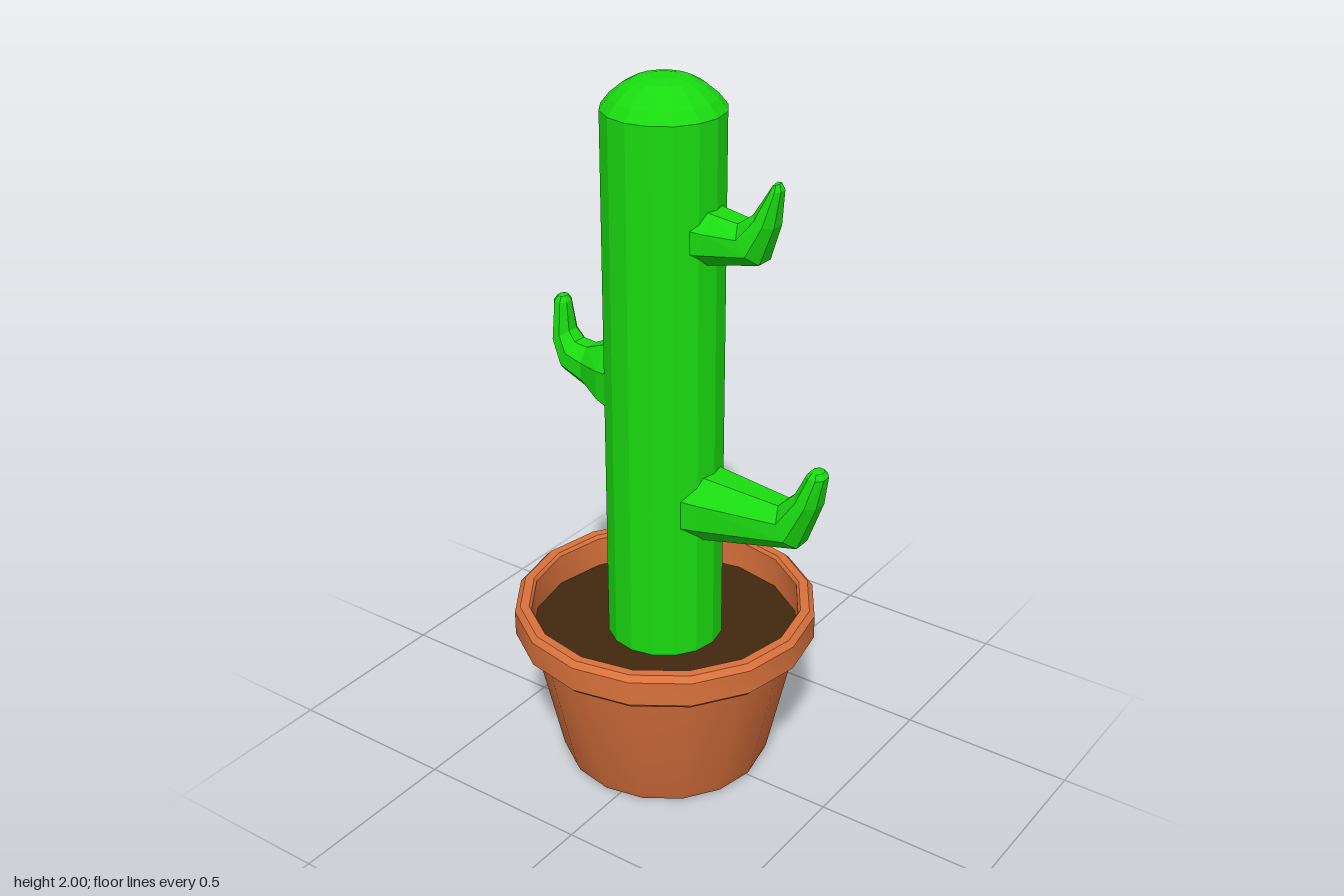
import * as THREE from 'three';
import { toCreasedNormals } from 'three/addons/utils/BufferGeometryUtils.js';

const SIDES = 16;
const AXIS_Z = -0.04; // the pot and trunk stand slightly behind the middle

const green = new THREE.MeshStandardMaterial({ color: 0x1adb10, flatShading: true });
const clay = new THREE.MeshStandardMaterial({ color: 0xd9713c });
const earth = new THREE.MeshStandardMaterial({ color: 0x42280e });

function lathe(name, points, material) {
  const profile = points.map(([r, y]) => new THREE.Vector2(r, y));
  const geometry = toCreasedNormals(new THREE.LatheGeometry(profile, SIDES), 0.5);
  const mesh = new THREE.Mesh(geometry, material);
  mesh.name = name;
  mesh.position.z = AXIS_Z;
  return mesh;
}

// Octagonal loft: each section is [underside z, y, upper side z, y, half width]
function arm(name, sections) {
  const n = 8;
  const k = 1 / Math.cos(Math.PI / n);
  const positions = [];
  const index = [];
  sections.forEach(([oz, oy, iz, iy, w], s) => {
    for (let j = 0; j < n; j++) {
      const a = ((j + 0.5) / n) * Math.PI * 2;
      const c = Math.cos(a) * k / 2;
      positions.push(w * k * Math.sin(a), (oy + iy) / 2 + (iy - oy) * c, (oz + iz) / 2 + (iz - oz) * c);
      if (s === 0) continue;
      const p = (s - 1) * n + j;
      const q = (s - 1) * n + (j + 1) % n;
      index.push(p, p + n, q, q, p + n, q + n);
    }
  });
  const geometry = new THREE.BufferGeometry();
  geometry.setAttribute('position', new THREE.Float32BufferAttribute(positions, 3));
  geometry.setIndex(index);
  geometry.computeVertexNormals();
  const mesh = new THREE.Mesh(geometry, green);
  mesh.name = name;
  return mesh;
}

export function createModel() {
  const model = new THREE.Group();
  model.name = 'pottedCactus';

  // Pot with a rounded foot, an overhanging rim and an open inside
  model.add(lathe('pot', [
    [0, 0.005], [0.27, 0.005], [0.288, 0.012], [0.298, 0.035], [0.38, 0.41],
    [0.41, 0.41], [0.425, 0.425], [0.425, 0.495], [0.41, 0.51],
    [0.385, 0.51], [0.378, 0.5], [0.378, 0.4],
  ], clay));

  // Soil disc
  model.add(lathe('soil', [[0.38, 0.41], [0, 0.41]], earth));

  // Trunk with a domed top
  model.add(lathe('trunk', [
    [0.162, 0.4], [0.162, 1.92], [0.138, 1.95], [0.108, 1.975],
    [0.075, 1.993], [0.04, 2], [0, 2],
  ], green));

  // Arms reach out and bend upwards
  model.add(arm('lowerFrontArm', [
    [0.02, 0.74, 0.02, 0.955, 0.11],
    [0.127, 0.76, 0.127, 0.945, 0.095],
    [0.4, 0.82, 0.34, 0.93, 0.066],
    [0.45, 0.95, 0.385, 0.975, 0.05],
    [0.465, 1.035, 0.415, 1.04, 0.032],
    [0.455, 1.05, 0.425, 1.052, 0.02],
    [0.44, 1.056, 0.44, 1.056, 0],
  ]));
  model.add(arm('upperFrontArm', [
    [0.02, 1.53, 0.02, 1.71, 0.1],
    [0.127, 1.55, 0.127, 1.685, 0.075],
    [0.265, 1.58, 0.2, 1.675, 0.064],
    [0.3, 1.68, 0.24, 1.705, 0.045],
    [0.312, 1.775, 0.275, 1.765, 0.024],
    [0.305, 1.792, 0.286, 1.785, 0.014],
    [0.296, 1.795, 0.296, 1.795, 0],
  ]));
  const backArm = arm('backArm', [
    [0.1, 1.03, 0.1, 1.29, 0.13],
    [0.195, 1.06, 0.195, 1.255, 0.1],
    [0.28, 1.095, 0.285, 1.215, 0.052],
    [0.365, 1.13, 0.325, 1.22, 0.05],
    [0.402, 1.21, 0.347, 1.245, 0.04],
    [0.4, 1.325, 0.357, 1.325, 0.026],
    [0.39, 1.34, 0.365, 1.34, 0.015],
    [0.378, 1.345, 0.378, 1.345, 0],
  ]);
  backArm.rotation.y = Math.PI;
  model.add(backArm);

  return model;
}
